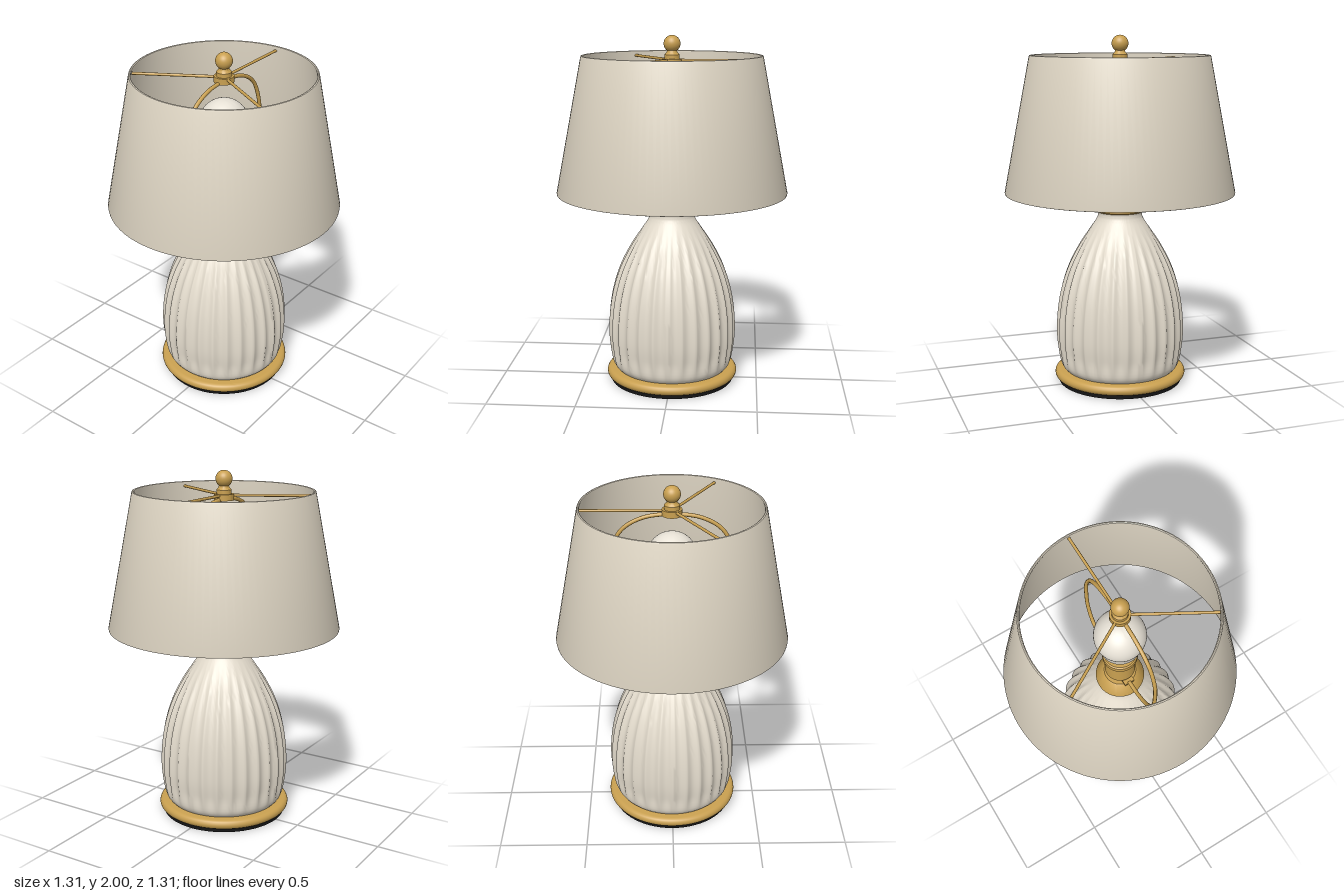
import * as THREE from 'three';
import { toCreasedNormals } from 'three/addons/utils/BufferGeometryUtils.js';

const mat = (name, color, side = THREE.FrontSide) => {
  const m = new THREE.MeshStandardMaterial({ color, side });
  m.name = name;
  return m;
};

export function createModel() {
  const lamp = new THREE.Group();
  lamp.name = 'tableLamp';
  const ceramic = mat('ceramic', 0xe4dccd);
  const linen = mat('linen', 0xdfd6c4, THREE.DoubleSide);
  const glass = mat('bulbGlass', 0xf2ece0);
  const brass = mat('brass', 0xc9a050);
  const felt = mat('felt', 0x141414);

  const add = (name, geometry, material, x = 0, y = 0, z = 0) => {
    const mesh = new THREE.Mesh(geometry, material);
    mesh.name = name;
    mesh.position.set(x, y, z);
    lamp.add(mesh);
    return mesh;
  };
  const vec2 = (points) => points.map(([r, y]) => new THREE.Vector2(r, y));
  const lathe = (name, points, material, segments = 64) =>
    add(name, toCreasedNormals(new THREE.LatheGeometry(vec2(points), segments), 0.6), material);

  // Felt pad and rounded brass foot
  add('feltPad', new THREE.CylinderGeometry(0.357, 0.357, 0.03, 64), felt, 0, 0.015);
  const foot = [[0, 0.022], [0.355, 0.022]];
  for (let i = 0; i <= 8; i++) {
    const a = -Math.PI / 2 + (i / 8) * Math.PI;
    foot.push([0.355 + 0.026 * Math.cos(a), 0.049 + 0.027 * Math.sin(a)]);
  }
  foot.push([0, 0.076]);
  lathe('foot', foot, brass, 96);

  // Fluted ceramic body: a smooth vase profile with scooped vertical grooves
  const flutes = 28;
  const profile = new THREE.SplineCurve(vec2([
    [0.315, 0.07], [0.345, 0.11], [0.362, 0.2], [0.37, 0.3], [0.363, 0.43], [0.34, 0.56],
    [0.297, 0.69], [0.235, 0.81], [0.175, 0.9], [0.138, 0.955], [0.126, 0.985], [0.128, 1.012],
  ]));
  const bodyGeometry = new THREE.LatheGeometry(profile.getPoints(48), flutes * 8);
  const pos = bodyGeometry.attributes.position;
  for (let i = 0; i < pos.count; i++) {
    const x = pos.getX(i), y = pos.getY(i), z = pos.getZ(i);
    const fade = THREE.MathUtils.smoothstep(y, 0.08, 0.2) * (1 - THREE.MathUtils.smoothstep(y, 0.72, 0.97));
    const s = Math.sin(Math.atan2(x, z) * flutes / 2);
    const k = 1 - 0.055 * fade * (Math.sqrt(s * s + 0.02) - 0.14);
    pos.setXYZ(i, x * k, y, z * k);
  }
  add('flutedBody', toCreasedNormals(bodyGeometry, 1.2), ceramic);

  // Brass collar on the neck
  lathe('collar', [[0, 1.003], [0.13, 1.003], [0.138, 1.01], [0.138, 1.018], [0.098, 1.08], [0.09, 1.087], [0, 1.087]], brass);

  // Saddle, socket and switch key
  add('stem', new THREE.CylinderGeometry(0.012, 0.012, 0.04, 16), brass, 0, 1.095);
  add('saddle', new THREE.BoxGeometry(0.21, 0.015, 0.06), brass, 0, 1.108);
  lathe('socket', [
    [0, 1.115], [0.07, 1.115], [0.086, 1.135], [0.086, 1.31], [0.098, 1.312],
    [0.098, 1.348], [0.09, 1.355], [0, 1.355],
  ], brass, 48);
  const keyShaft = add('switchShaft', new THREE.CylinderGeometry(0.01, 0.01, 0.08, 12), brass, 0.115, 1.235);
  keyShaft.rotation.z = Math.PI / 2;
  add('switchKey', new THREE.BoxGeometry(0.045, 0.04, 0.016), brass, 0.16, 1.235);

  // Light bulb
  const bulb = [[0, 1.34], [0.055, 1.34], [0.06, 1.36], [0.085, 1.4], [0.112, 1.46]];
  for (let i = 0; i <= 18; i++) {
    const a = -0.6 + (i / 18) * (Math.PI / 2 + 0.6);
    bulb.push([Math.max(0, 0.14 * Math.cos(a)), 1.595 + 0.14 * Math.sin(a)]);
  }
  lathe('bulb', bulb, glass, 48);

  // Harp: a wire loop from the saddle around the bulb to the hub
  const half = [[0.1, 1.115], [0.19, 1.125], [0.28, 1.18], [0.335, 1.3], [0.348, 1.46], [0.335, 1.62], [0.275, 1.75], [0.16, 1.82]];
  const wire = [
    ...half.map(([x, y]) => new THREE.Vector3(x, y, 0)),
    new THREE.Vector3(0, 1.84, 0),
    ...half.slice().reverse().map(([x, y]) => new THREE.Vector3(-x, y, 0)),
  ];
  add('harp', new THREE.TubeGeometry(new THREE.CatmullRomCurve3(wire), 96, 0.011, 10), brass);

  // Spider: hub with three arms reaching the shade
  lathe('hub', [[0, 1.835], [0.055, 1.835], [0.055, 1.87], [0, 1.87]], brass, 40);
  for (let i = 0; i < 3; i++) {
    const a = (i * Math.PI * 2) / 3;
    const arm = add('spiderArm', new THREE.CylinderGeometry(0.008, 0.008, 0.46, 10), brass,
      Math.cos(a) * 0.268, 1.862, Math.sin(a) * 0.268);
    arm.rotation.set(0, -a, Math.PI / 2);
  }

  // Finial: flared neck and ball
  lathe('finialNeck', [[0, 1.868], [0.042, 1.868], [0.042, 1.893], [0.03, 1.905], [0.026, 1.925], [0, 1.925]], brass, 32);
  add('finialBall', new THREE.SphereGeometry(0.047, 32, 20), brass, 0, 1.953);

  // Tapered drum shade with softly rolled rims
  lathe('shade', [
    [0.642, 1.118], [0.648, 1.114], [0.655, 1.116], [0.656, 1.124], [0.509, 1.88], [0.506, 1.888],
    [0.5, 1.89], [0.495, 1.887], [0.494, 1.88], [0.641, 1.124], [0.642, 1.118],
  ], linen, 96);

  return lamp;
}
